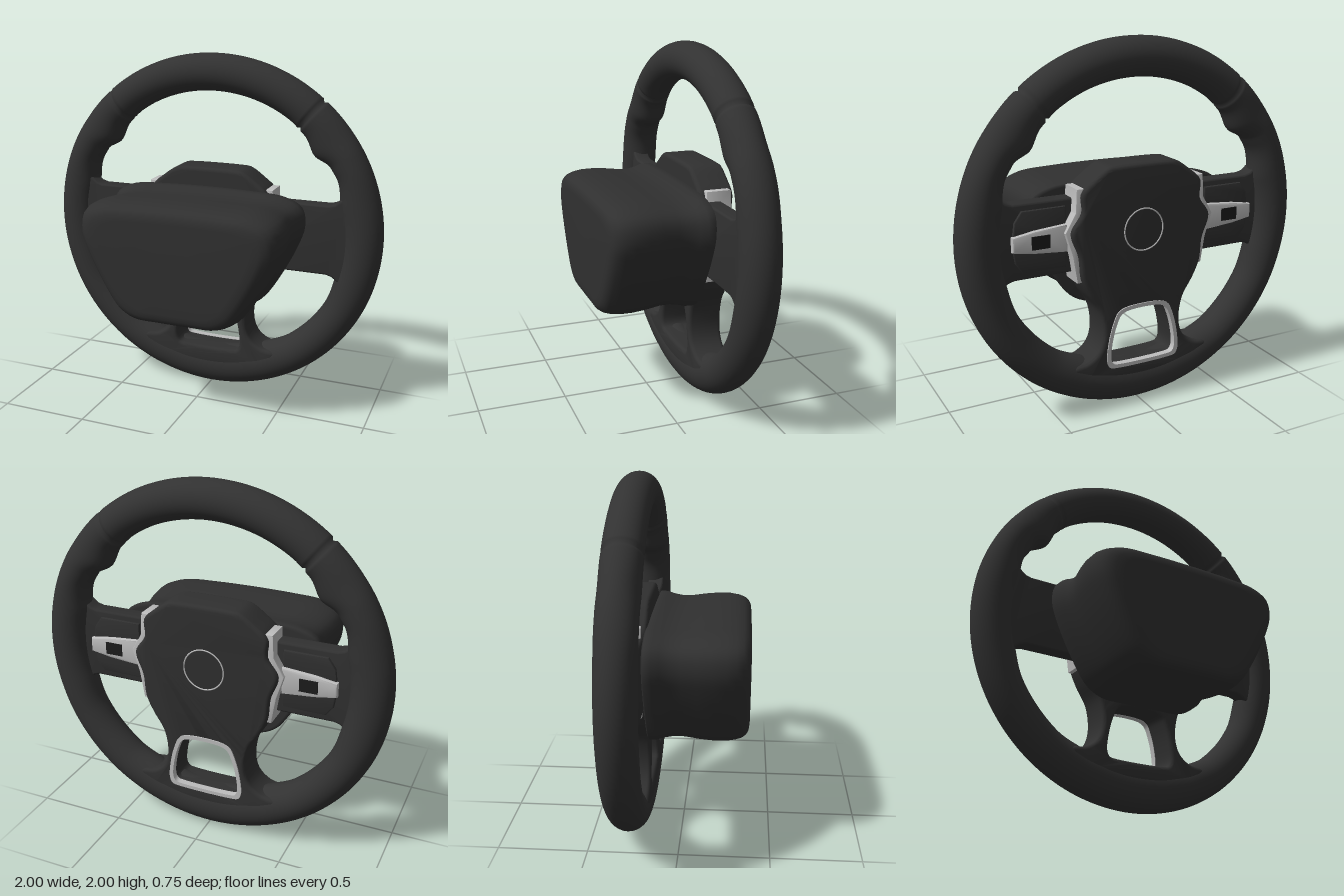
import * as THREE from 'three';
import { toCreasedNormals } from 'three/addons/utils/BufferGeometryUtils.js';

const mat = (name, color) => Object.assign(new THREE.MeshStandardMaterial({ color }), { name });

// Closed smooth outline through a few points
function outline(pts, n = 120) {
  const curve = new THREE.CatmullRomCurve3(pts.map(([x, y]) => new THREE.Vector3(x, y, 0)), true, 'centripetal');
  return curve.getSpacedPoints(n).slice(0, n).map((p) => new THREE.Vector2(p.x, p.y));
}

// Right half (bottom to top) completed by its mirror image
const mirrored = (half) => [...half, ...half.slice().reverse().map(([x, y]) => [-x, y])];

// Extrusion between two z values whose bevel stays inside the outline
function slab(shape, z0, z1, bevel = 0, steps = 4) {
  const g = new THREE.ExtrudeGeometry(shape, {
    depth: z1 - z0 - 2 * bevel, bevelEnabled: bevel > 0, bevelThickness: bevel,
    bevelSize: bevel, bevelOffset: -bevel, bevelSegments: steps, curveSegments: 12,
  });
  g.translate(0, 0, z0 + bevel);
  return toCreasedNormals(g, 0.6);
}

// Smooth skin over a grid of points; u always wraps round
function skin(nu, nv, wrapV, point) {
  const pos = [], index = [];
  for (let j = 0; j < nv; j++) for (let i = 0; i < nu; i++) pos.push(...point(i, j));
  for (let j = 0; j < (wrapV ? nv : nv - 1); j++) {
    for (let i = 0; i < nu; i++) {
      const i1 = (i + 1) % nu, j1 = (j + 1) % nv;
      const a = j * nu + i, b = j * nu + i1, c = j1 * nu + i1, d = j1 * nu + i;
      index.push(a, b, c, a, c, d);
    }
  }
  const g = new THREE.BufferGeometry();
  g.setAttribute('position', new THREE.Float32BufferAttribute(pos, 3));
  g.setIndex(index);
  g.computeVertexNormals();
  return g;
}

// Inner radius of the rim by elevation angle: thumb rests and wider spoke areas
const INNER = [[-90, 0.75], [-75, 0.755], [-66, 0.768], [-52, 0.787], [-30, 0.79], [-15, 0.775], [12, 0.775],
  [25, 0.805], [30, 0.8], [38, 0.755], [47, 0.785], [55, 0.793], [90, 0.79]];
function innerRadius(e) {
  let k = 0;
  while (k < INNER.length - 2 && e > INNER[k + 1][0]) k++;
  const [e0, r0] = INNER[k], [e1, r1] = INNER[k + 1];
  return r0 + (r1 - r0) * THREE.MathUtils.smoothstep(e, e0, e1);
}

function rimGeometry() {
  const nv = 32;
  return skin(360, nv, true, (i, j) => {
    const a = THREE.MathUtils.degToRad(i), f = (j / nv) * Math.PI * 2;
    const e = THREE.MathUtils.radToDeg(Math.asin(Math.sin(a)));
    const groove = Math.abs(e - 50) < 0.5 ? 0.014 : 0; // seam between grips
    const rin = innerRadius(e), w = (1 - rin) / 2;
    const r = (1 + rin) / 2 + (w - groove) * Math.cos(f);
    const y = 1 + r * Math.sin(a);
    return [r * Math.cos(a), y, -0.262 + 0.01 * (y - 1) + (0.106 - groove) * Math.sin(f)];
  });
}

function housingGeometry() {
  const pts = outline(mirrored([[0.1, 0.572], [0.25, 0.578], [0.34, 0.625], [0.4, 0.7], [0.53, 0.94],
    [0.575, 1.08], [0.555, 1.18], [0.46, 1.23], [0.25, 1.247]]), 96);
  // z, scale of the outline
  const rows = [[-0.18, 0], [-0.18, 0.97], [-0.17, 1.01], [-0.13, 1.005], [-0.09, 0.975], [-0.04, 0.953], [0.02, 0.953],
    [0.1, 0.98], [0.18, 0.997], [0.25, 0.995], [0.3, 0.975], [0.335, 0.945], [0.358, 0.9], [0.37, 0.84],
    [0.375, 0.75], [0.377, 0.4], [0.377, 0]];
  return skin(96, rows.length, false, (i, j) => {
    const [z, s] = rows[j];
    return [pts[i].x * s, 0.91 + (pts[i].y - 0.91) * s, z];
  });
}

export function createModel() {
  const leather = mat('dark leather', 0x323232);
  const plastic = mat('dark plastic', 0x303030);
  const black = mat('black buttons', 0x1c1c1c);
  const silver = mat('silver trim', 0xbdbdbd);
  const root = new THREE.Group();
  root.name = 'steeringWheel';
  const add = (name, geometry, material, parent = root) => {
    const m = new THREE.Mesh(geometry, material);
    m.name = name;
    parent.add(m);
    return m;
  };

  add('rim', rimGeometry(), leather);
  add('columnHousing', housingGeometry(), plastic);

  // Hub cover running down into two lower legs around an opening
  const cover = new THREE.Shape(outline(mirrored([[0.2, 0.14], [0.38, 0.2], [0.42, 0.275], [0.33, 0.295], [0.265, 0.345],
    [0.237, 0.43], [0.255, 0.57], [0.32, 0.68], [0.36, 0.77], [0.375, 0.9], [0.415, 1.03], [0.355, 1.13],
    [0.355, 1.23], [0.28, 1.3], [0.2, 1.352], [0.16, 1.357]]), 200));
  const openingPts = mirrored([[0.15, 0.255], [0.185, 0.262], [0.2, 0.295], [0.19, 0.4], [0.165, 0.49],
    [0.14, 0.54], [0.1, 0.56]]);
  const opening = outline(openingPts, 90);
  cover.holes.push(new THREE.Path(opening));
  add('hubCover', slab(cover, -0.366, -0.17, 0.022), plastic);

  // Silver lining of the opening
  const lining = new THREE.Shape(outline(openingPts.map(([x, y]) => [x * 1.1, 0.405 + (y - 0.405) * 1.12]), 90));
  lining.holes.push(new THREE.Path(outline(openingPts.map(([x, y]) => [x * 0.985, 0.405 + (y - 0.405) * 0.985]), 90)));
  add('openingTrim', slab(lining, -0.372, -0.335), silver);

  // Round badge outline, left blank
  const ring = add('badgeRing', new THREE.TorusGeometry(0.115, 0.004, 8, 64), silver);
  ring.position.set(0, 1, -0.366);

  for (const s of [1, -1]) {
    const side = new THREE.Group();
    side.name = s > 0 ? 'leftSpoke' : 'rightSpoke';
    root.add(side);
    const poly = (pts) => new THREE.Shape(pts.map(([x, y]) => new THREE.Vector2(s * x, y)));

    // Spoke plate with flared ends sunk into the rim
    add('spokePlate', slab(poly([[0.2, 0.8], [0.7, 0.8], [0.735, 0.79], [0.765, 0.765], [0.82, 0.74], [0.86, 1],
      [0.82, 1.26], [0.765, 1.235], [0.735, 1.21], [0.7, 1.2], [0.2, 1.2]]), -0.285, -0.19, 0.012), plastic, side);

    // Raised switch panels above and below the control bar
    const panel = (a, b) => poly([[0.42, a], [0.66, a], [0.7, a + (b - a) * 0.35], [0.715, b], [0.42, b]]);
    add('lowerSwitch', slab(panel(0.84, 0.995), -0.3, -0.27, 0.008, 2), plastic, side);
    add('upperSwitch', slab(panel(1.165, 1.005).clone(), -0.3, -0.27, 0.008, 2), plastic, side);

    // Tapered silver control bar with its button
    add('controlBar', slab(poly([[0.42, 0.925], [0.6, 0.94], [0.72, 0.96], [0.72, 1.04], [0.6, 1.06], [0.42, 1.075]]),
      -0.322, -0.28, 0.012, 2), silver, side);
    const button = add('controlButton', new THREE.BoxGeometry(0.1, 0.07, 0.009), black, side);
    button.position.set(s * 0.57, 1, -0.323);

    // Angled silver strip between cover and spoke
    const edge = [[0.345, 0.75], [0.37, 0.9], [0.41, 1.03], [0.352, 1.13], [0.345, 1.255]];
    const strip = [...edge.map(([x, y]) => [x - 0.03, y]), ...edge.slice().reverse().map(([x, y]) => [x + 0.033, y])];
    add('sideTrim', slab(poly(strip), -0.342, -0.2, 0.006, 2), silver, side);
  }
  return root;
}
